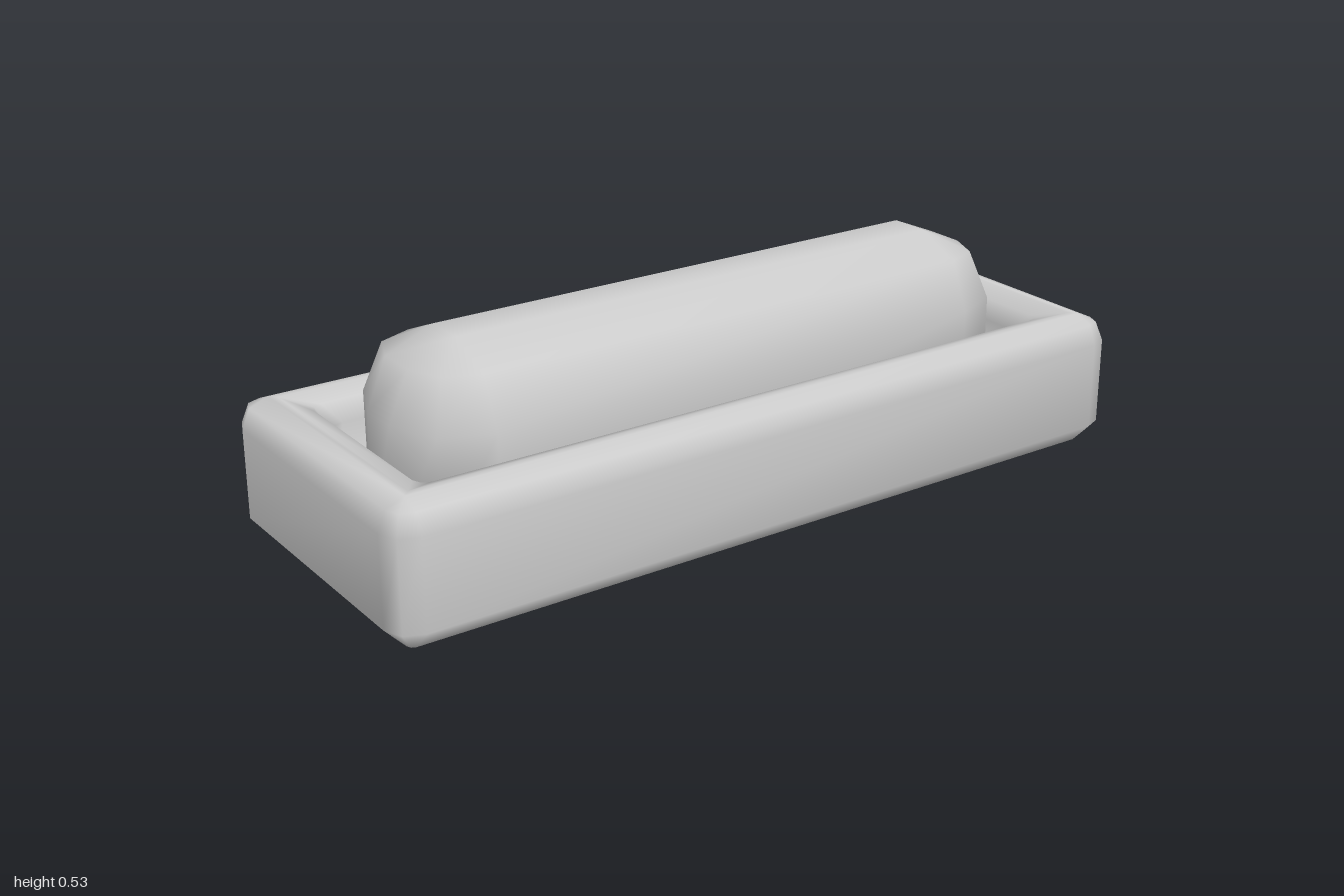
import * as THREE from 'three';
import { mergeVertices } from 'three/addons/utils/BufferGeometryUtils.js';

const material = new THREE.MeshStandardMaterial({ color: 0xcccccc });

// Rectangle of half sizes w, d at height y, corners rounded by r in two segments
function ring([y, w, d, r]) {
  const points = [];
  [[1, 1], [-1, 1], [-1, -1], [1, -1]].forEach(([sx, sz], corner) => {
    for (let k = 0; k < 3; k++) {
      const a = (corner + k / 2) * Math.PI / 2;
      points.push([sx * (w - r) + r * Math.cos(a), y, sz * (d - r) + r * Math.sin(a)]);
    }
  });
  return points;
}

// Smooth skin through a list of rings, closed at both ends
function loft(name, levels) {
  const first = levels[0], last = levels[levels.length - 1];
  const rings = [[first[0], 0, 0, 0], ...levels, [last[0], 0, 0, 0]].map(ring);
  const n = rings[0].length, index = [];
  for (let i = 0; i < rings.length - 1; i++) {
    for (let j = 0; j < n; j++) {
      const a = i * n + j, b = i * n + (j + 1) % n;
      index.push(a, a + n, b, b, a + n, b + n);
    }
  }
  let geometry = new THREE.BufferGeometry();
  geometry.setAttribute('position', new THREE.Float32BufferAttribute(rings.flat(2), 3));
  geometry.setIndex(index);
  geometry = mergeVertices(geometry, 1e-4);
  geometry.computeVertexNormals();
  const mesh = new THREE.Mesh(geometry, material);
  mesh.name = name;
  return mesh;
}

export function createModel() {
  const group = new THREE.Group();
  group.name = 'trayWithBlock';

  // Open tray: chamfered foot, rounded rim, recessed floor
  group.add(loft('tray', [
    [0, 0.95, 0.34, 0.015],
    [0.052, 1, 0.39, 0.065],
    [0.268, 1, 0.39, 0.065],
    [0.315, 0.981, 0.371, 0.046],
    [0.334, 0.935, 0.325, 0],
    [0.334, 0.918, 0.308, 0],
    [0.315, 0.868, 0.258, 0.03],
    [0.268, 0.848, 0.238, 0.05],
    [0.1, 0.845, 0.235, 0.05],
  ]));

  // Raised block with generously rounded top and ends
  group.add(loft('roundedBlock', [
    [0.09, 0.825, 0.217, 0.167],
    [0.363, 0.825, 0.217, 0.167],
    [0.481, 0.776, 0.168, 0.118],
    [0.53, 0.658, 0.05, 0],
  ]));

  return group;
}
